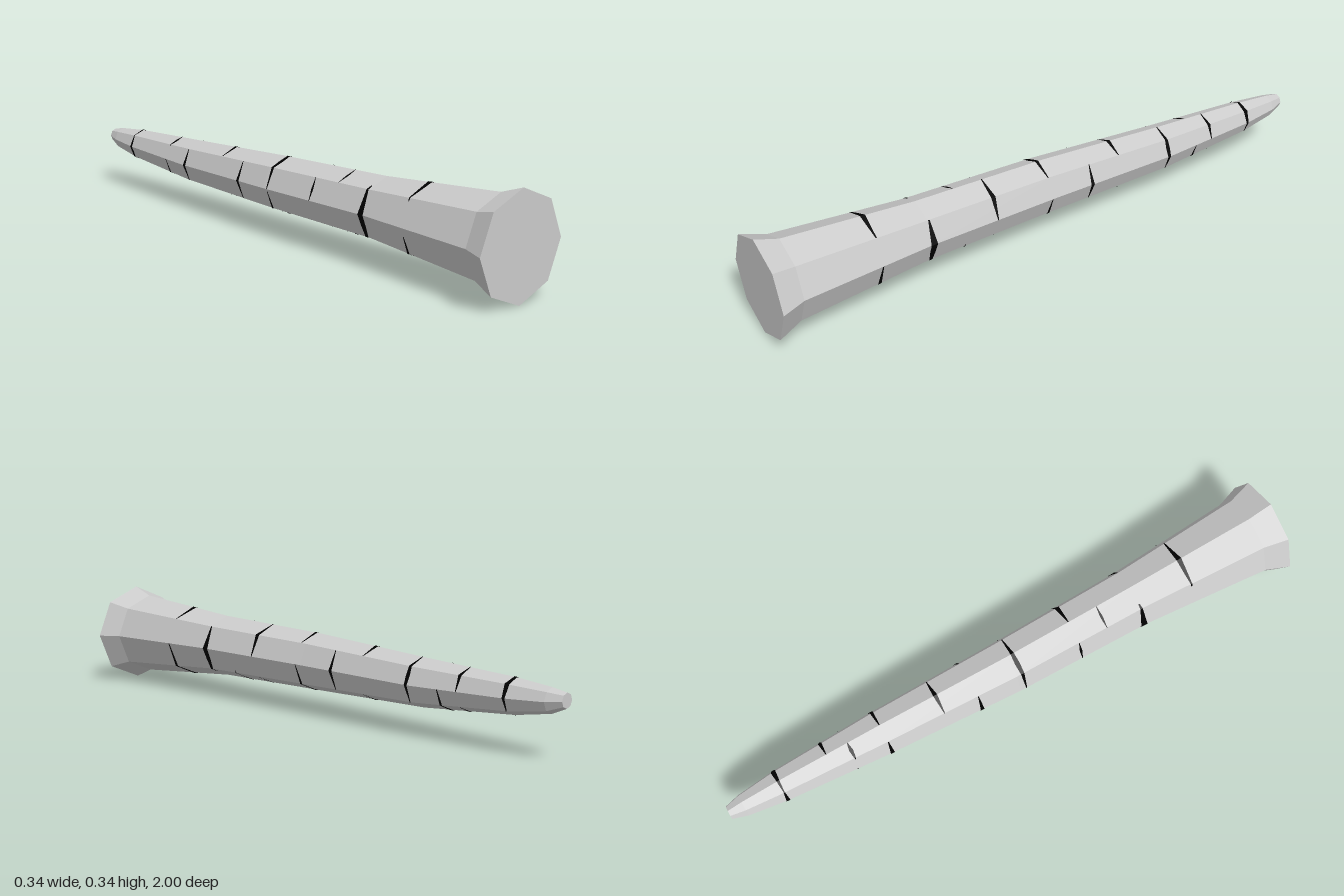
import * as THREE from 'three';

// Trunk rings along z: [z, centre x, centre y, radius]
const RINGS = [
  [1, 0, 0.169, 0.169],
  [0.92, 0, 0.172, 0.139],
  [0.47, 0, 0.173, 0.104],
  [0, -0.003, 0.169, 0.094],
  [-0.47, 0.007, 0.162, 0.077],
  [-0.82, 0.01, 0.168, 0.055],
  [-0.95, 0.01, 0.173, 0.038],
  [-1, 0.009, 0.179, 0.023],
];
const SIDES = 8, STEP = 360 / SIDES;

// Bark marks: [z, start angle, end angle, width], angles from +x towards +y
const MARKS = [
  [0.65, 45, 140, 0.018], [0.65, 195, 360, 0.02],
  [0.465, 125, 250, 0.026], [0.465, -60, 45, 0.026],
  [0.335, 90, 135, 0.009], [0.34, 225, 320, 0.014],
  [0.23, 0, 90, 0.016], [0.23, 135, 180, 0.009], [0.23, 265, 315, 0.01],
  [0.02, 45, 180, 0.016], [0.02, 185, 360, 0.016],
  [-0.14, 135, 225, 0.013], [-0.14, -45, 45, 0.013],
  [-0.26, 45, 135, 0.014], [-0.26, 225, 315, 0.014],
  [-0.46, -45, 90, 0.015], [-0.46, 135, 225, 0.014],
  [-0.575, 90, 140, 0.014], [-0.58, 180, 360, 0.015],
  [-0.65, 0, 90, 0.012], [-0.65, 230, 315, 0.012],
  [-0.82, -45, 135, 0.016], [-0.82, 125, 270, 0.016],
];

// Point on the flat-sided trunk surface, raised outward by lift
function surfacePoint(z, deg, lift = 0) {
  let i = 0;
  while (i < RINGS.length - 2 && z < RINGS[i + 1][0]) i++;
  const a = RINGS[i], b = RINGS[i + 1];
  const t = (z - a[0]) / (b[0] - a[0]);
  const [cx, cy, r] = [1, 2, 3].map((k) => THREE.MathUtils.lerp(a[k], b[k], t));
  const half = THREE.MathUtils.degToRad(STEP / 2);
  const local = THREE.MathUtils.degToRad(THREE.MathUtils.euclideanModulo(deg, STEP));
  const d = (r + lift) * Math.cos(half) / Math.cos(local - half);
  const angle = THREE.MathUtils.degToRad(deg);
  return [cx + d * Math.cos(angle), cy + d * Math.sin(angle), z];
}

// Skin between successive rows of points, rows running towards -z
function skin(rows) {
  const out = [];
  for (let i = 0; i < rows.length - 1; i++) {
    for (let j = 0; j < rows[i].length - 1; j++) {
      const a = rows[i][j], b = rows[i][j + 1];
      const c = rows[i + 1][j + 1], d = rows[i + 1][j];
      out.push(...a, ...d, ...c, ...a, ...c, ...b);
    }
  }
  return out;
}

function makeMesh(name, positions, material) {
  const geometry = new THREE.BufferGeometry();
  geometry.setAttribute('position', new THREE.Float32BufferAttribute(positions, 3));
  geometry.computeVertexNormals();
  const mesh = new THREE.Mesh(geometry, material);
  mesh.name = name;
  return mesh;
}

// Thin band wrapped round the trunk, widest in the middle, tapering to its ends
function barkMark([z, start, end, width]) {
  const angles = [start];
  const half = STEP / 2;
  for (let a = (Math.floor(start / half) + 1) * half; a < end; a += half) angles.push(a);
  angles.push(end);
  const row = (sign) => angles.map((a) => {
    const t = (a - start) / (end - start);
    const w = width * (0.2 + 0.8 * (1 - Math.abs(2 * t - 1)));
    return surfacePoint(z + sign * w / 2, a, 0.0015);
  });
  return skin([row(1), row(-1)]);
}

export function createModel() {
  const group = new THREE.Group();
  group.name = 'log';
  const bark = new THREE.MeshStandardMaterial({ color: 0xcccccc, flatShading: true });
  const dark = new THREE.MeshStandardMaterial({
    color: 0x000000, flatShading: true, side: THREE.DoubleSide,
  });

  // Tapered trunk with flared base
  const rows = RINGS.map(([z]) =>
    Array.from({ length: SIDES + 1 }, (_, j) => surfacePoint(z, j * STEP)));
  group.add(makeMesh('trunk', skin(rows), bark));

  // Flat cut ends
  const base = [], tip = [];
  const first = rows[0], last = rows[rows.length - 1];
  for (let j = 1; j < SIDES - 1; j++) {
    base.push(...first[0], ...first[j], ...first[j + 1]);
    tip.push(...last[0], ...last[j + 1], ...last[j]);
  }
  group.add(makeMesh('baseEnd', base, bark), makeMesh('tipEnd', tip, bark));

  // Dark bark marks
  const marks = new THREE.Group();
  marks.name = 'barkMarks';
  MARKS.forEach((m) => marks.add(makeMesh('barkMark', barkMark(m), dark)));
  group.add(marks);
  return group;
}
